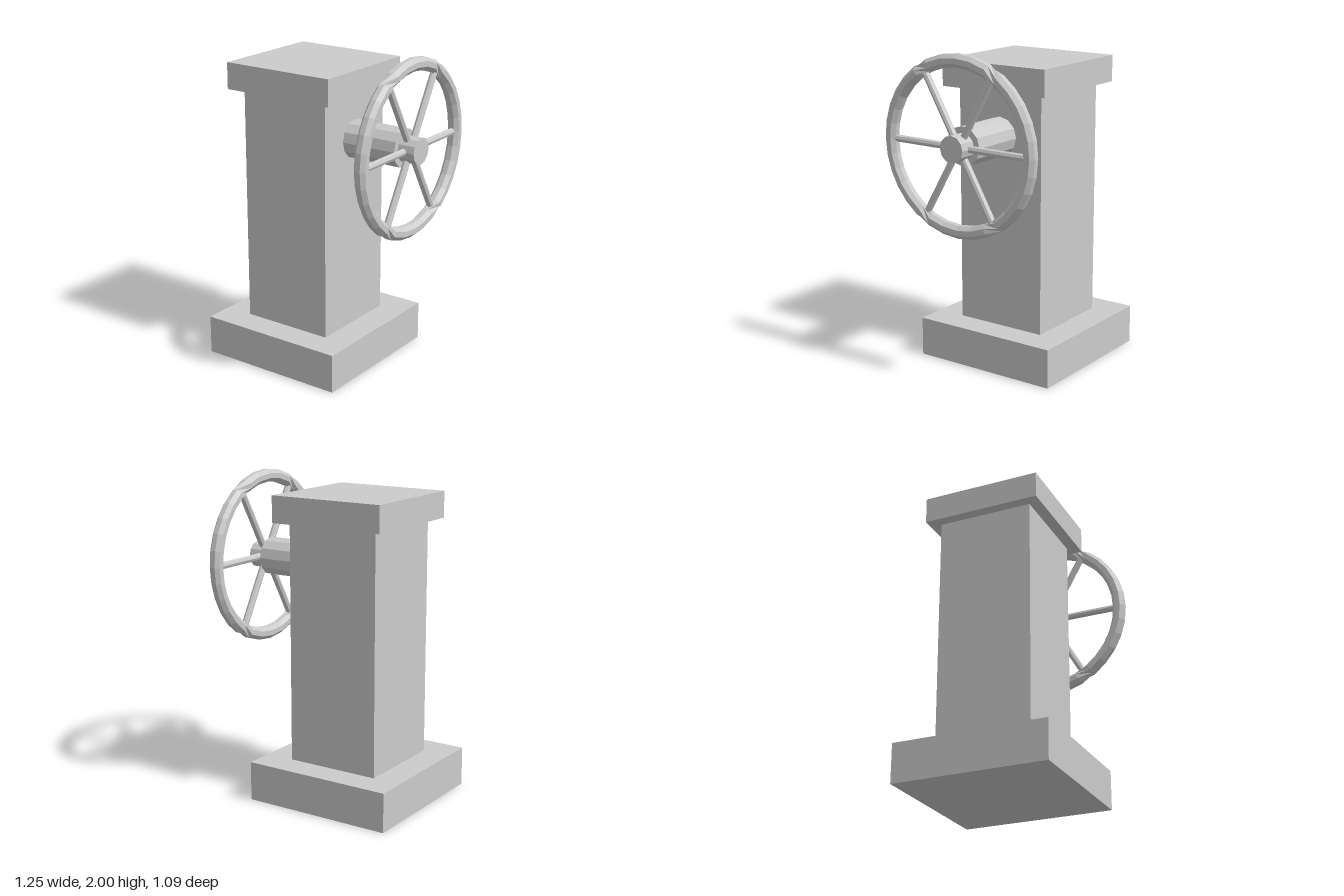
import * as THREE from 'three';

const material = new THREE.MeshStandardMaterial({ color: 0xcccccc, flatShading: true });
const AXLE_Y = 1.455;
const WHEEL_X = 0.552;

function addMesh(parent, name, geometry, x, y, z) {
  const mesh = new THREE.Mesh(geometry, material);
  mesh.name = name;
  mesh.position.set(x, y, z);
  parent.add(mesh);
  return mesh;
}

// Square block between two heights
function addBlock(parent, name, x, y0, y1, width) {
  addMesh(parent, name, new THREE.BoxGeometry(width, y1 - y0, width), x, (y0 + y1) / 2, 0);
}

// Cylinder lying along x
function addAxle(parent, name, x0, x1, radius) {
  const geometry = new THREE.CylinderGeometry(radius, radius, x1 - x0, 12).rotateZ(-Math.PI / 2);
  addMesh(parent, name, geometry, (x0 + x1) / 2, AXLE_Y, 0);
}

// Octagonal ring in the yz plane, with a quarter twist at each diagonal spoke
function rimGeometry(major, tube) {
  const sides = 8;
  const rings = [];
  const addArc = (from, to, steps, roll) => {
    for (let i = 0; i <= steps; i++) rings.push([from + (to - from) * i / steps, roll]);
  };
  addArc(-55, 55, 10, 0);
  addArc(66, 114, 4, 1);
  addArc(125, 235, 10, 2);
  addArc(246, 294, 4, 3);

  const positions = [];
  const indices = [];
  for (const [degrees, roll] of rings) {
    const a = THREE.MathUtils.degToRad(degrees);
    for (let j = 0; j < sides; j++) {
      const b = (j + 0.5) / sides * Math.PI * 2 + roll * Math.PI / 2;
      const r = major + tube * 1.06 * Math.cos(b);
      positions.push(tube * 1.06 * Math.sin(b), r * Math.sin(a), r * Math.cos(a));
    }
  }
  for (let i = 0; i < rings.length; i++) {
    const next = (i + 1) % rings.length;
    for (let j = 0; j < sides; j++) {
      const k = (j + 1) % sides;
      const p = i * sides + j, q = i * sides + k;
      const r = next * sides + j, s = next * sides + k;
      indices.push(p, q, r, q, s, r);
    }
  }
  const geometry = new THREE.BufferGeometry();
  geometry.setAttribute('position', new THREE.Float32BufferAttribute(positions, 3));
  geometry.setIndex(indices);
  geometry.computeVertexNormals();
  return geometry;
}

export function createModel() {
  const model = new THREE.Group();
  model.name = 'handwheelPedestal';

  // Pedestal
  addBlock(model, 'base', -0.147, 0, 0.245, 0.965);
  addBlock(model, 'column', -0.149, 0.245, 1.735, 0.602);
  addBlock(model, 'cap', -0.146, 1.735, 1.9, 0.748);

  // Shaft and wheel hub
  addAxle(model, 'shaft', 0.14, 0.515, 0.12);
  addAxle(model, 'hub', 0.49, 0.625, 0.082);

  // Handwheel
  const wheel = new THREE.Group();
  wheel.name = 'handwheel';
  wheel.position.set(WHEEL_X, AXLE_Y, 0);
  model.add(wheel);
  addMesh(wheel, 'rim', rimGeometry(0.506, 0.04), 0, 0, 0);
  for (let i = 0; i < 6; i++) {
    const geometry = new THREE.CylinderGeometry(0.022, 0.022, 0.46, 8);
    geometry.translate(0, 0.27, 0).rotateX(Math.PI / 2 + i * Math.PI / 3);
    addMesh(wheel, 'spoke' + (i + 1), geometry, 0, 0, 0);
  }
  return model;
}
